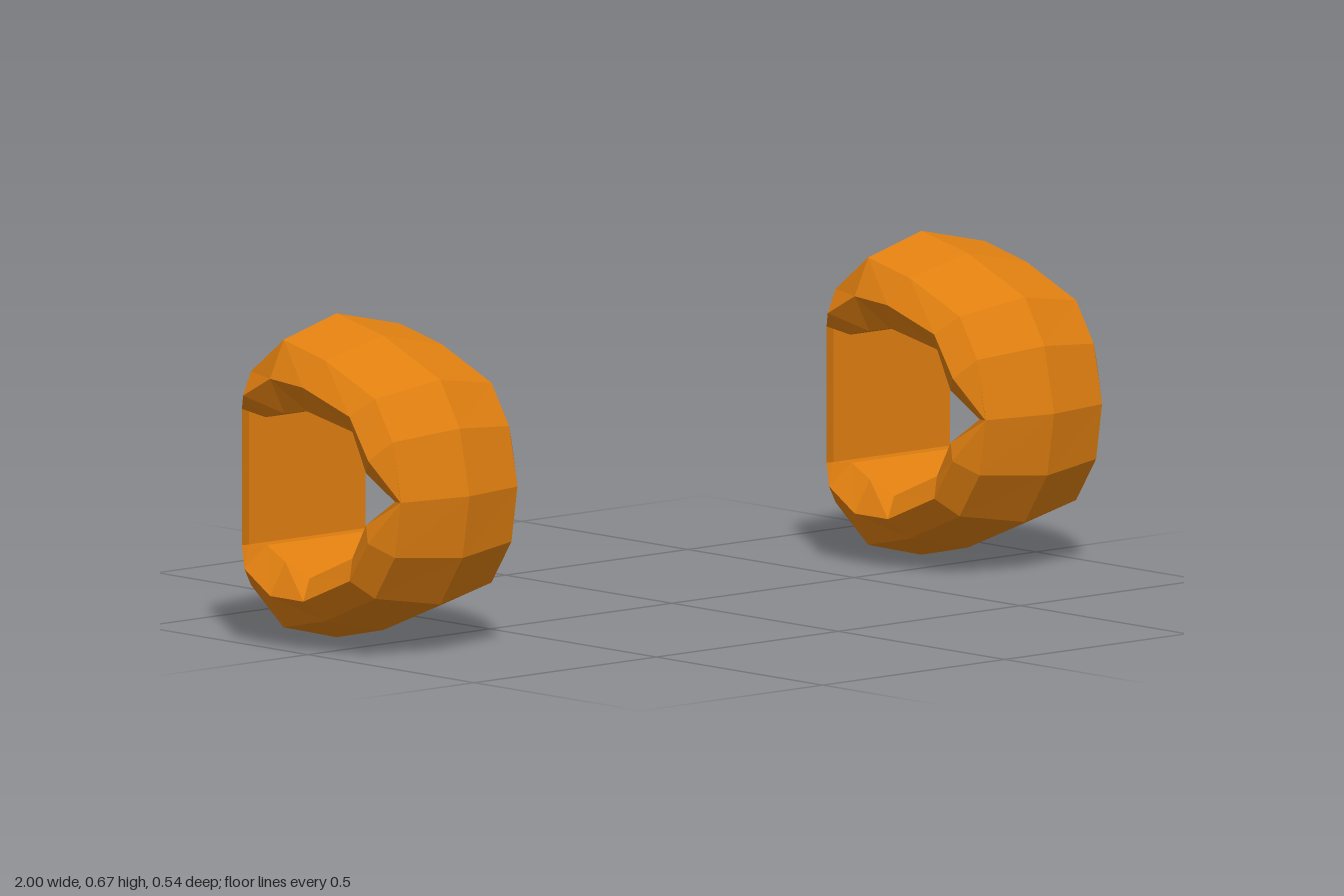
import * as THREE from 'three';

const HALF_EDGE = 0.16; // half width at the bevelled edges
const HALF_WIDTH = 0.197; // half width at the bulging side faces

// Profiles as [z, y], all running from the top, down the back, and round the front
const crown = [[-0.129, 0.665], [-0.239, 0.581], [-0.27, 0.497], [-0.27, 0.169], [-0.239, 0.087], [-0.129, 0],
  [0.011, 0.031], [0.182, 0.103], [0.249, 0.206], [0.27, 0.335], [0.241, 0.471], [0.182, 0.564], [0.011, 0.635]];
const shoulder = [[-0.114, 0.629], [-0.212, 0.553], [-0.239, 0.473], [-0.239, 0.193], [-0.212, 0.115], [-0.114, 0.039],
  [0.011, 0.066], [0.161, 0.129], [0.221, 0.22], [0.239, 0.335], [0.214, 0.456], [0.161, 0.539], [0.011, 0.601]];
const side = [[-0.114, 0.553], [-0.195, 0.509], [-0.239, 0.473], [-0.239, 0.193], [-0.191, 0.154], [-0.114, 0.107],
  [-0.014, 0.107], [0.125, 0.165], [0.18, 0.248], [0.238, 0.335], [0.181, 0.418], [0.125, 0.502], [-0.016, 0.546]];
const bore = [[-0.111, 0.478], [-0.168, 0.464], [-0.218, 0.473], [-0.218, 0.197], [-0.163, 0.202], [-0.109, 0.174],
  [-0.036, 0.148], [0.093, 0.204], [0.134, 0.277], [0.221, 0.335], [0.134, 0.384], [0.093, 0.464], [-0.046, 0.491]];

// The side faces pinch in at the back wall and at the front tip
const pinched = new Set([2, 3, 9]);

function cuffGeometry() {
  const count = crown.length;
  const positions = [];
  const index = [];
  for (let i = 0; i < count; i++) {
    const sideX = pinched.has(i) ? HALF_EDGE : HALF_WIDTH;
    const section = [
      [0, crown[i]],
      [HALF_EDGE, shoulder[i]], [sideX, side[i]], [HALF_EDGE, bore[i]],
      [-HALF_EDGE, bore[i]], [-sideX, side[i]], [-HALF_EDGE, shoulder[i]],
    ];
    for (const [x, [z, y]] of section) positions.push(x, y, z);
  }
  // Join each cross-section to the next, closing both loops
  const n = 7;
  for (let i = 0; i < count; i++) {
    for (let j = 0; j < n; j++) {
      const i2 = (i + 1) % count, j2 = (j + 1) % n;
      const a = i * n + j, b = i * n + j2, c = i2 * n + j2, d = i2 * n + j;
      index.push(a, b, c, a, c, d);
    }
  }
  const geometry = new THREE.BufferGeometry();
  geometry.setAttribute('position', new THREE.Float32BufferAttribute(positions, 3));
  geometry.setIndex(index);
  const faceted = geometry.toNonIndexed();
  faceted.computeVertexNormals();
  return faceted;
}

export function createModel() {
  const model = new THREE.Group();
  model.name = 'cuffPair';
  const orange = new THREE.MeshStandardMaterial({ color: 0xe07f10, flatShading: true });
  orange.name = 'orange';
  const geometry = cuffGeometry();

  // Matching cuffs on either side
  for (const [name, sign] of [['leftCuff', 1], ['rightCuff', -1]]) {
    const cuff = new THREE.Mesh(geometry, orange);
    cuff.name = name;
    cuff.position.x = sign * 0.803;
    model.add(cuff);
  }
  return model;
}
